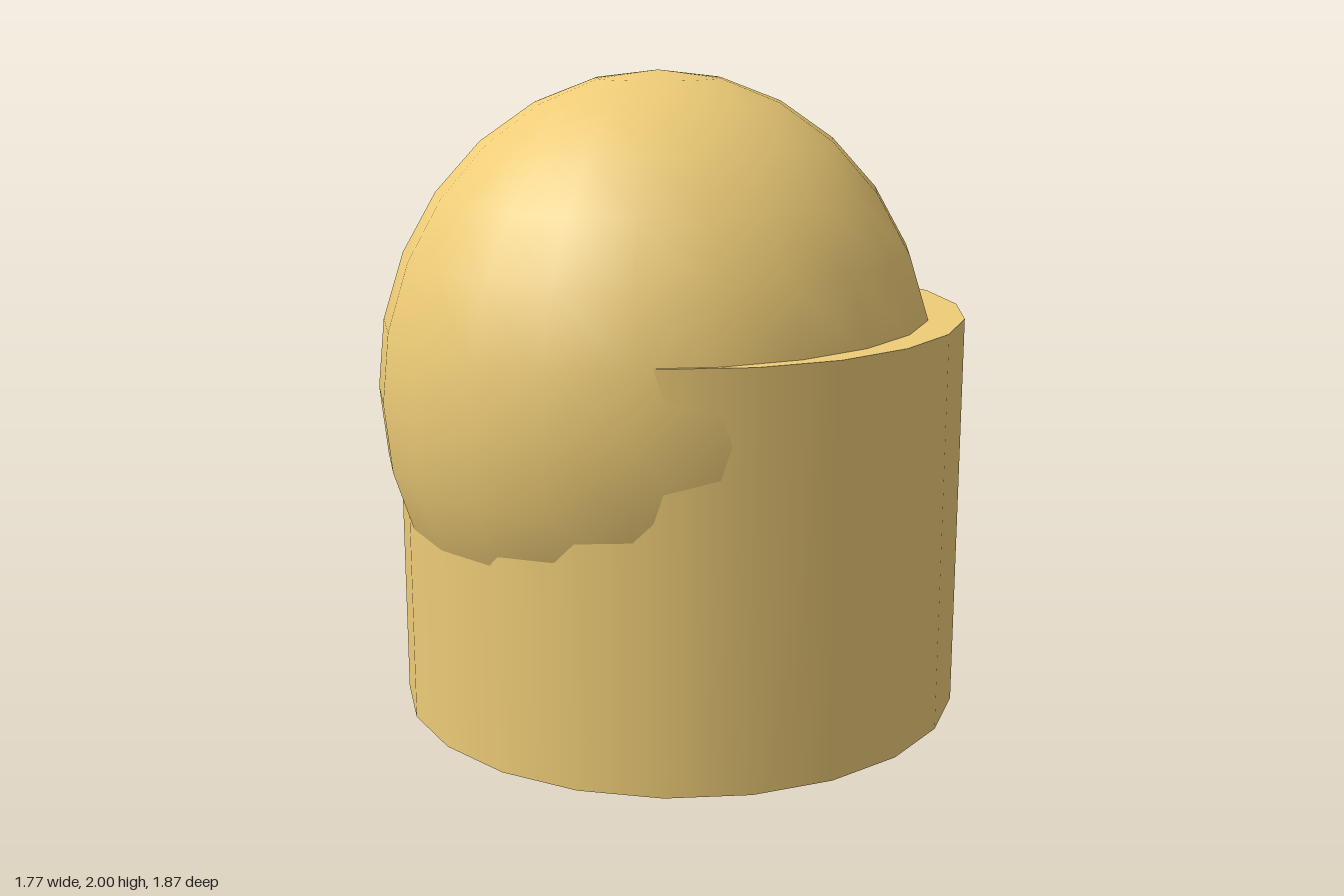
import * as THREE from 'three';

const SIDES = 22;

export function createModel() {
  const group = new THREE.Group();
  const material = new THREE.MeshStandardMaterial({ color: 0xeecc77 });

  const add = (name, geometry, y, z) => {
    const mesh = new THREE.Mesh(geometry, material);
    mesh.name = name;
    mesh.position.set(0, y, z);
    group.add(mesh);
  };

  // Upright drum, with a corner on the front and back centre lines
  const bodyHeight = 1.25;
  add('body', new THREE.CylinderGeometry(0.893, 0.893, bodyHeight, SIDES), bodyHeight / 2, -0.041);

  // Slightly stretched ball sunk into the drum and bulging out at the front
  const ball = new THREE.SphereGeometry(1, SIDES, 14);
  ball.rotateY(Math.PI / 2);
  ball.scale(0.845, 0.97, 0.889);
  add('dome', ball, 1.03, 0.046);

  return group;
}
